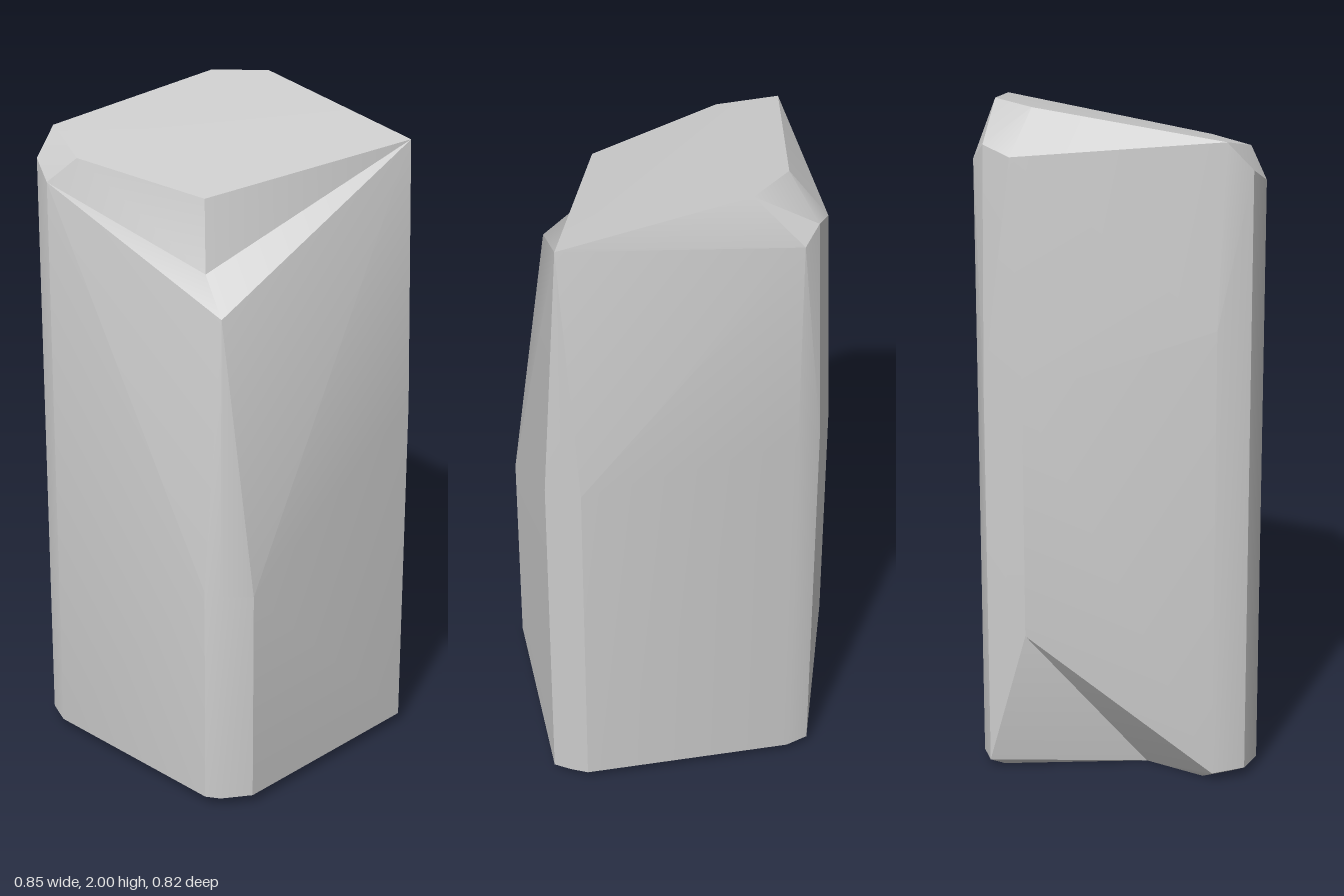
import * as THREE from 'three';
import { ConvexGeometry } from 'three/addons/geometries/ConvexGeometry.js';
import { toCreasedNormals } from 'three/addons/utils/BufferGeometryUtils.js';

const v = (x, y, z) => new THREE.Vector3(x, y, z);

// Chamfered footprint: [x, z, height where the straight wall ends]
const columns = [
  [-0.38, 0.375, 1.4], [-0.30, 0.41, 1.4], [0.33, 0.41, 0.72], [0.37, 0.385, 0.71],
  [0.425, 0.305, 0.7], [0.425, -0.355, 1.1], [0.38, -0.385, 1.1], [0.33, -0.41, 1.1],
  [-0.30, -0.41, 1.2], [-0.37, -0.385, 1.2], [-0.425, -0.27, 1.2], [-0.425, 0.28, 1.4],
];
const chippedColumn = 10;

// Upper rim of the walls, including the two broken right corners
const rim = [
  v(-0.38, 1.85, 0.375), v(-0.30, 1.805, 0.41), v(0.31, 1.53, 0.32), v(0.38, 1.905, -0.38),
  v(-0.30, 1.855, -0.41), v(-0.345, 1.905, -0.378), v(-0.39, 1.88, -0.30), v(-0.39, 1.93, 0.30),
];

// Sloping flat top
const top = [
  v(0.17, 1.83, 0.245), v(-0.22, 1.885, 0.365), v(-0.345, 1.918, 0.313),
  v(-0.29, 2, -0.245), v(-0.165, 2, -0.36),
];

// Hull corners that are pushed inwards afterwards to form hollow chips
const dents = [
  { from: v(-0.40, -0.02, 0.03), to: v(-0.29, 0, 0.08) },
  { from: v(0.275, 1.63, 0.315), to: v(0.215, 1.63, 0.287) },
];

function stoneGeometry() {
  const points = [...rim, ...top, ...dents.map((d) => d.from)];
  columns.forEach(([x, z, y], i) => {
    points.push(v(x, y, z));
    if (i === chippedColumn) {
      points.push(v(x, 0.46, z));
    } else {
      points.push(v(x, 0.03, z), v(x * 0.9, 0, z * 0.9));
    }
  });

  const geometry = new ConvexGeometry(points);
  const position = geometry.attributes.position;
  const p = v(0, 0, 0);
  for (let i = 0; i < position.count; i++) {
    p.fromBufferAttribute(position, i);
    for (const { from, to } of dents) {
      if (p.distanceTo(from) < 1e-4) position.setXYZ(i, to.x, to.y, to.z);
    }
  }
  return toCreasedNormals(geometry, 0.45);
}

export function createModel() {
  const group = new THREE.Group();
  group.name = 'stonePillar';
  const stone = new THREE.Mesh(
    stoneGeometry(),
    new THREE.MeshStandardMaterial({ color: 0xcccccc }),
  );
  stone.name = 'chippedStoneBlock';
  group.add(stone);
  return group;
}
